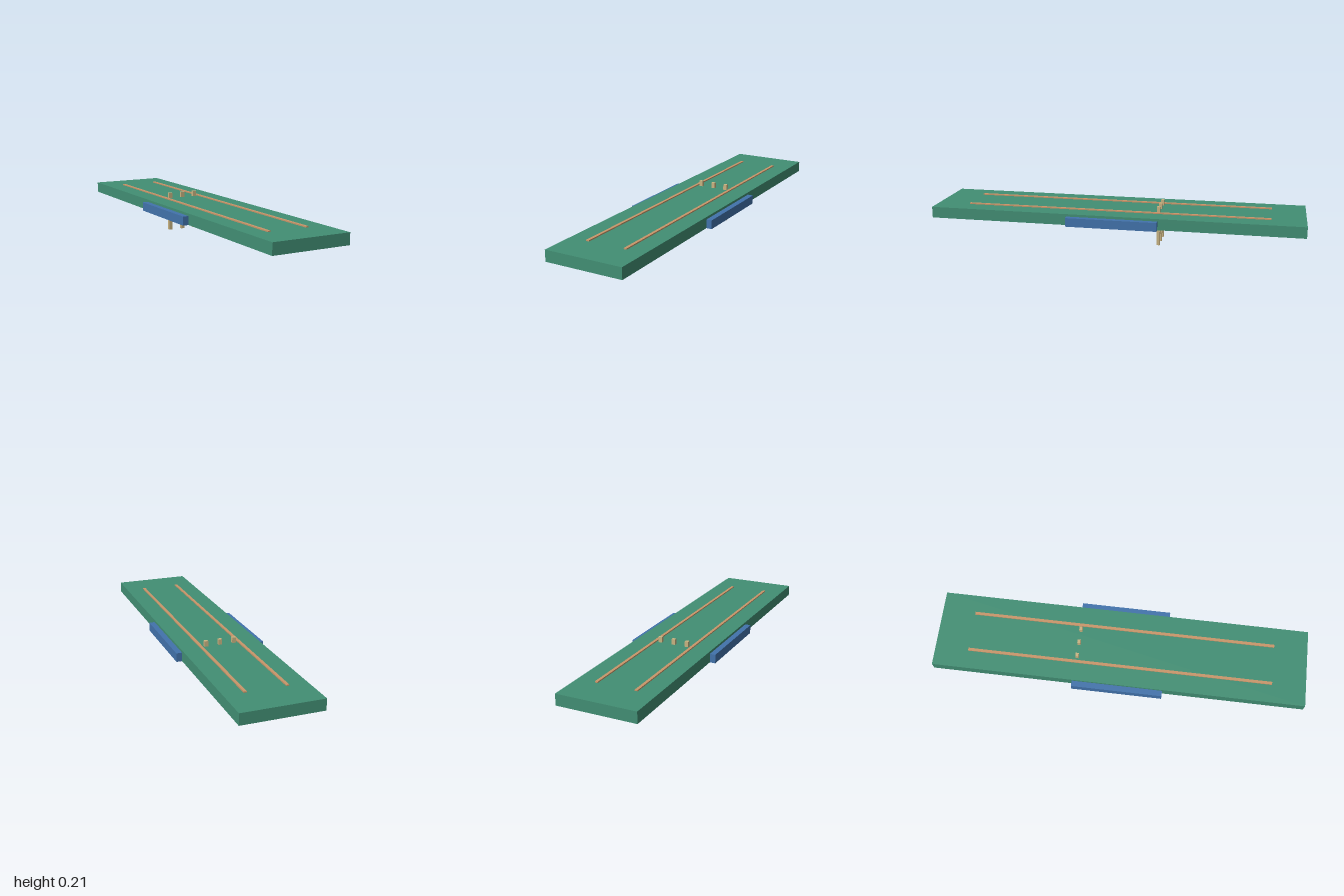
import * as THREE from 'three';

export function createModel() {
  const group = new THREE.Group();
  const material = (name, color) => {
    const m = new THREE.MeshStandardMaterial({ color });
    m.name = name;
    return m;
  };
  const green = material('board green', 0x428f74);
  const blue = material('side blue', 0x4273ac);
  const copper = material('rail copper', 0xc8966a);
  const tan = material('pin tan', 0xc9b482);

  // Box given by its centre x and z, its bottom and top, width and depth
  const box = (name, mat, x, z, y0, y1, w, d) => {
    const mesh = new THREE.Mesh(new THREE.BoxGeometry(w, y1 - y0, d), mat);
    mesh.name = name;
    mesh.position.set(x, (y0 + y1) / 2, z);
    group.add(mesh);
  };

  // Long flat board
  box('board', green, 0, 0, 0.122, 0.182, 0.423, 2);

  // Mirrored side blocks and the thin rails along the top
  for (const [side, s] of [['left', 1], ['right', -1]]) {
    box(side + 'SideBlock', blue, s * 0.2268, 0, 0.122, 0.169, 0.0305, 0.486);
    box(side + 'Rail', copper, s * 0.106, 0, 0.181, 0.188, 0.0155, 1.64);
  }

  // Row of three pins passing through the board
  for (const i of [-1, 0, 1]) {
    box('pin' + (i + 2), tan, i * 0.0767, -0.23, 0, 0.212, 0.02, 0.017);
  }
  return group;
}
